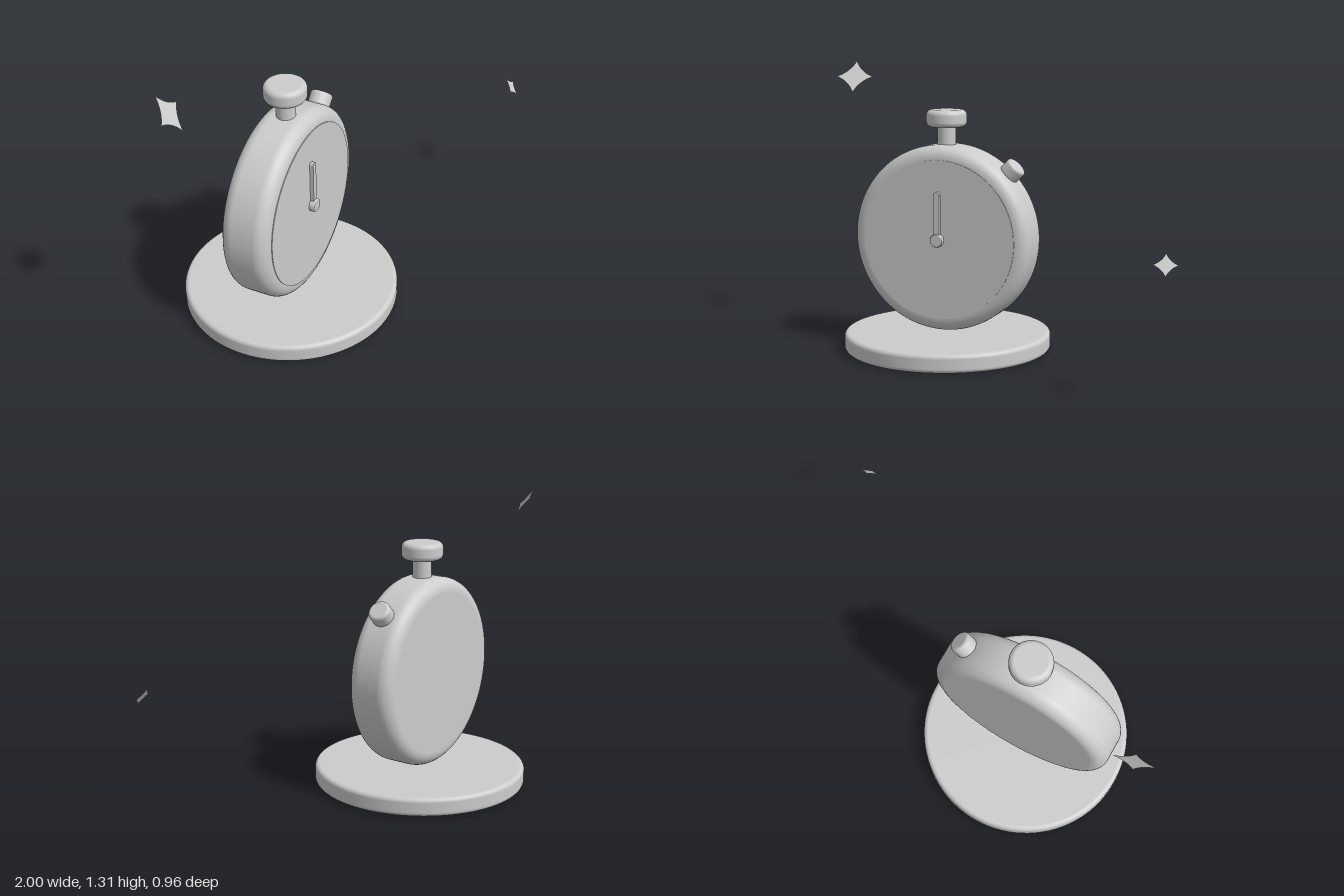
import * as THREE from 'three';

const material = new THREE.MeshStandardMaterial({ color: 0xcccccc });
material.name = 'light grey';
const thinMaterial = material.clone();
thinMaterial.name = 'light grey thin';
thinMaterial.side = THREE.DoubleSide;

// Solid disc around y with rounded rims, centred on the origin
function roundedDisc(radius, height, bevel, segments = 96) {
  const h = height / 2, inner = radius - bevel;
  const points = [new THREE.Vector2(0, -h), new THREE.Vector2(inner - 0.002, -h)];
  for (const side of [-1, 1]) {
    for (let i = 0; i <= 8; i++) {
      const a = (i / 8) * Math.PI / 2 + (side < 0 ? -Math.PI / 2 : 0);
      points.push(new THREE.Vector2(inner + Math.cos(a) * bevel, side * (h - bevel) + Math.sin(a) * bevel));
    }
  }
  points.push(new THREE.Vector2(inner - 0.002, h), new THREE.Vector2(0, h));
  return new THREE.LatheGeometry(points, segments);
}

function add(parent, name, geometry, x, y, z, mat = material) {
  const mesh = new THREE.Mesh(geometry, mat);
  mesh.name = name;
  mesh.position.set(x, y, z);
  parent.add(mesh);
  return mesh;
}

// Flat four-pointed star with concave sides
function sparkleGeometry(r) {
  const shape = new THREE.Shape();
  shape.moveTo(r, 0);
  for (let i = 0; i < 4; i++) {
    const mid = (i + 0.5) * Math.PI / 2, end = (i + 1) * Math.PI / 2, c = r * 0.4;
    shape.quadraticCurveTo(Math.cos(mid) * c, Math.sin(mid) * c, Math.cos(end) * r, Math.sin(end) * r);
  }
  return new THREE.ShapeGeometry(shape, 12);
}

export function createModel() {
  const model = new THREE.Group();
  model.name = 'stopwatchOnStand';
  const centreX = -0.355;

  // Round stand
  add(model, 'base', roundedDisc(0.48, 0.085, 0.02), centreX, 0.0425, 0);

  // Watch, turned towards its left
  const watch = new THREE.Group();
  watch.name = 'watch';
  watch.position.set(centreX, 0.526, 0);
  watch.rotation.y = 0.575;
  model.add(watch);

  add(watch, 'case', roundedDisc(0.43, 0.22, 0.06, 128), 0, 0, 0).rotation.x = Math.PI / 2;
  add(watch, 'dial', new THREE.CylinderGeometry(0.367, 0.367, 0.008, 96), 0, 0, 0.109).rotation.x = Math.PI / 2;

  // Hand with rounded ends, and its hub
  const w = 0.0135, tip = 0.21;
  const outline = new THREE.Shape();
  outline.moveTo(-w, 0);
  outline.absarc(0, 0, w, Math.PI, Math.PI * 2, false);
  outline.lineTo(w, tip);
  outline.absarc(0, tip, w, 0, Math.PI, false);
  outline.closePath();
  add(watch, 'hand', new THREE.ExtrudeGeometry(outline, { depth: 0.018, bevelEnabled: false }), 0, 0, 0.112);
  add(watch, 'hub', roundedDisc(0.03, 0.028, 0.004, 40), 0, 0, 0.125).rotation.x = Math.PI / 2;

  // Winding crown on top
  add(watch, 'crownStem', new THREE.CylinderGeometry(0.042, 0.042, 0.14, 48), 0, 0.46, 0);
  add(watch, 'crown', roundedDisc(0.093, 0.078, 0.024), 0, 0.548, 0);

  // Side button at 45 degrees
  const button = new THREE.Group();
  button.name = 'sideButton';
  button.rotation.z = -Math.PI / 4;
  watch.add(button);
  add(button, 'buttonStem', new THREE.CylinderGeometry(0.03, 0.03, 0.06, 32), 0, 0.42, 0);
  add(button, 'buttonCap', roundedDisc(0.05, 0.066, 0.014, 48), 0, 0.454, 0);

  // Floating sparkles, both facing one diagonal
  for (const [name, r, x, y, z] of [
    ['largeSparkle', 0.09, -0.936, 1.238, 0.135],
    ['smallSparkle', 0.053, 0.96, 0.585, -0.137],
  ]) {
    add(model, name, sparkleGeometry(r), x, y, z, thinMaterial).lookAt(x + 1, y + 1, z + 1);
  }
  return model;
}
